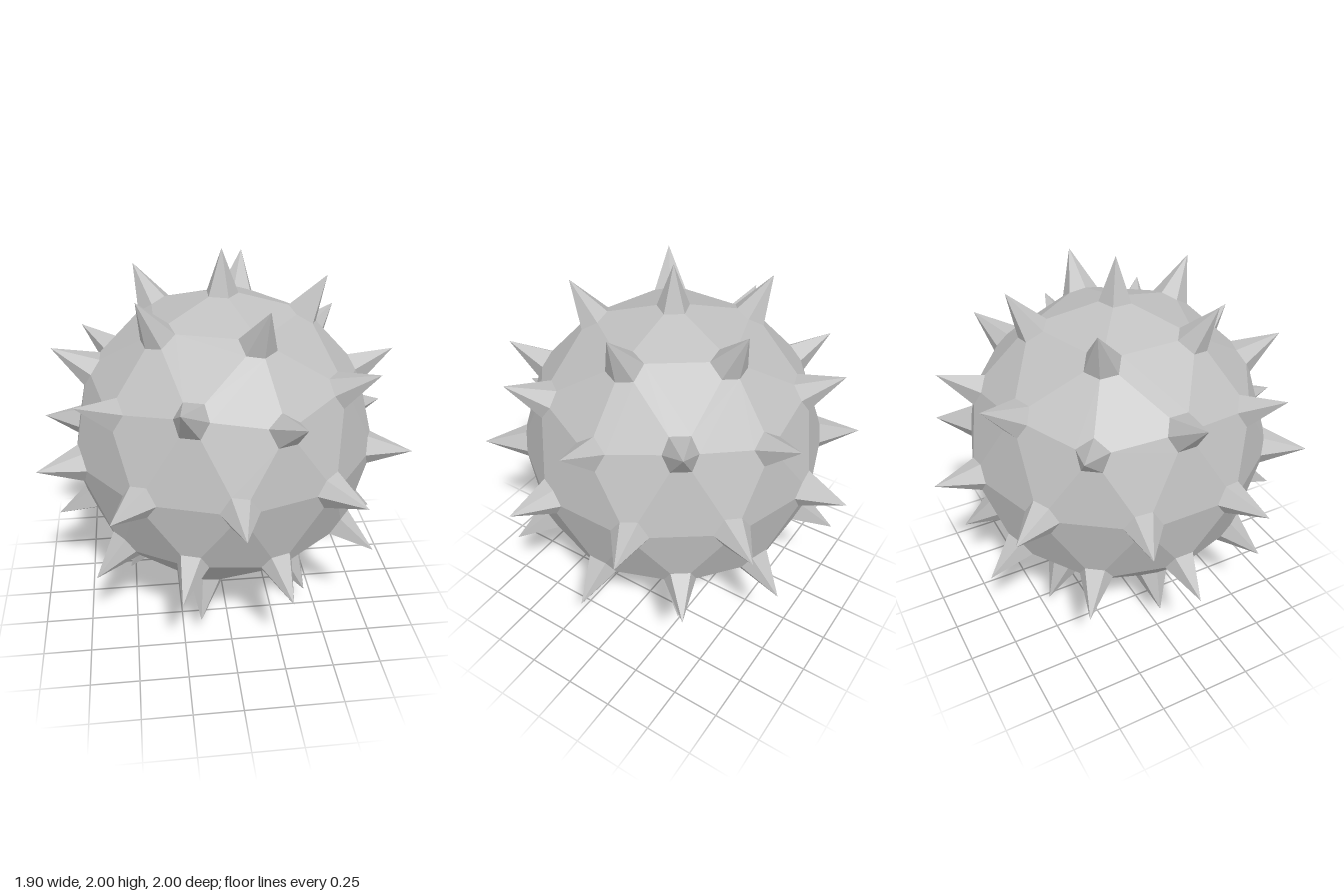
import * as THREE from 'three';

const BODY_RADIUS = 0.8;
const TIP_RADIUS = 1;
const BASE_SHARE = 0.2; // how far a spike's base reaches along each body edge

// Unit icosahedron standing on a vertex: two poles and two rings of five
function icosahedron() {
  const at = (y, deg) => {
    const r = Math.sqrt(1 - y * y), a = THREE.MathUtils.degToRad(deg);
    return new THREE.Vector3(r * Math.cos(a), y, r * Math.sin(a));
  };
  const h = 1 / Math.sqrt(5);
  const points = [at(1, 0), at(-1, 0)];
  for (let i = 0; i < 5; i++) points.push(at(h, 72 * i), at(-h, 72 * i + 36));
  const faces = [];
  for (let i = 0; i < 5; i++) {
    const up = 2 + 2 * i, low = up + 1;
    const nextUp = 2 + 2 * ((i + 1) % 5), nextLow = nextUp + 1;
    faces.push([0, nextUp, up], [up, nextUp, low], [low, nextUp, nextLow], [1, low, nextLow]);
  }
  return { points, faces };
}

// Split every face in four, pushing the edge midpoints out to the sphere
function subdivide({ points, faces }) {
  const mids = new Map();
  const mid = (a, b) => {
    const key = Math.min(a, b) + '_' + Math.max(a, b);
    if (!mids.has(key)) {
      mids.set(key, points.length);
      points.push(points[a].clone().add(points[b]).normalize());
    }
    return mids.get(key);
  };
  const split = faces.flatMap(([a, b, c]) => {
    const ab = mid(a, b), bc = mid(b, c), ca = mid(c, a);
    return [[a, ab, ca], [ab, b, bc], [ca, bc, c], [ab, bc, ca]];
  });
  return { points, faces: split };
}

// Unshared corners give each facet its own flat normal
function facetGeometry(triangles) {
  const geometry = new THREE.BufferGeometry().setFromPoints(triangles.flat());
  geometry.computeVertexNormals();
  return geometry;
}

// Turn a triangle outwards from the ball's centre
function outward([a, b, c]) {
  const normal = b.clone().sub(a).cross(c.clone().sub(a));
  const middle = a.clone().add(b).add(c);
  return normal.dot(middle) > 0 ? [a, b, c] : [a, c, b];
}

export function createModel() {
  const grey = new THREE.MeshStandardMaterial({ color: 0xc0c0c0 });
  grey.name = 'stone grey';

  const { points, faces } = subdivide(icosahedron());
  const corner = (a, b) =>
    points[a].clone().lerp(points[b], BASE_SHARE).multiplyScalar(BODY_RADIUS);

  const bodyTriangles = [];
  const spikeTriangles = points.map(() => []);
  for (const face of faces) {
    const hexagon = [];
    for (let i = 0; i < 3; i++) {
      const a = face[i], next = face[(i + 1) % 3], last = face[(i + 2) % 3];
      const p = corner(a, last), q = corner(a, next);
      hexagon.push(p, q);
      // One side of the spike growing from this corner
      const tip = points[a].clone().multiplyScalar(TIP_RADIUS);
      spikeTriangles[a].push(outward([p, q, tip]));
    }
    // The face with its corners cut off
    for (let i = 1; i < 5; i++) bodyTriangles.push(outward([hexagon[0], hexagon[i], hexagon[i + 1]]));
  }

  const model = new THREE.Group();
  model.name = 'spikedBall';
  const add = (parent, name, triangles) => {
    const mesh = new THREE.Mesh(facetGeometry(triangles), grey);
    mesh.name = name;
    parent.add(mesh);
  };

  const ball = new THREE.Group();
  ball.name = 'ball';
  ball.position.y = TIP_RADIUS;
  model.add(ball);
  add(ball, 'body', bodyTriangles);

  const spikes = new THREE.Group();
  spikes.name = 'spikes';
  ball.add(spikes);
  spikeTriangles.forEach((triangles, i) => add(spikes, 'spike' + (i + 1), triangles));

  return model;
}
